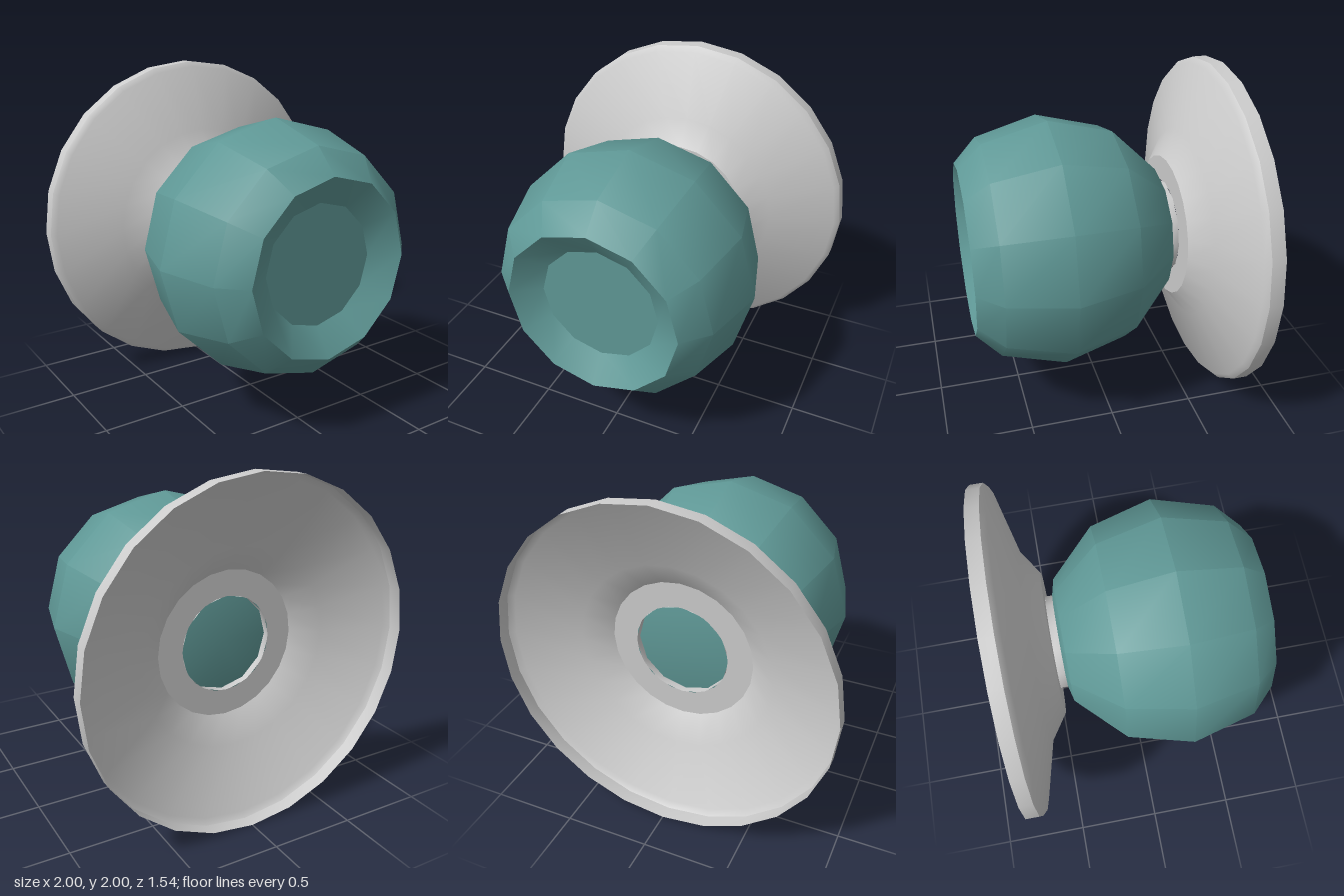
import * as THREE from 'three';
import { toCreasedNormals } from 'three/addons/utils/BufferGeometryUtils.js';

const grey = new THREE.MeshStandardMaterial({ color: 0xcccccc, side: THREE.DoubleSide });
const teal = new THREE.MeshStandardMaterial({ color: 0x5f9896 });

// Turn a profile of [radius, z] points about the z axis, at height y = 1
function turned(name, profile, sides, material) {
  const points = profile.map(([r, z]) => new THREE.Vector2(r, z));
  const geometry = toCreasedNormals(new THREE.LatheGeometry(points, sides), 0.56);
  geometry.rotateX(Math.PI / 2);
  const mesh = new THREE.Mesh(geometry, material);
  mesh.name = name;
  mesh.position.y = 1;
  return mesh;
}

export function createModel() {
  const model = new THREE.Group();
  model.name = 'doorKnob';

  // Faceted round grip with a dished front
  model.add(turned('knob', [
    [0, -0.42], [0.28, -0.415], [0.38, -0.39], [0.65, -0.12], [0.75, 0.255],
    [0.65, 0.63], [0.51, 0.77], [0.35, 0.66], [0, 0.66],
  ], 12, teal));

  // Short open collar between plate and grip
  model.add(turned('neck', [[0.285, -0.457], [0.285, -0.412]], 12, grey));

  // Thin hollow wall plate
  model.add(turned('backPlate', [
    [1, -0.77], [1, -0.69], [0.97, -0.66], [0.58, -0.56], [0.43, -0.457], [0.28, -0.457],
  ], 24, grey));

  return model;
}
